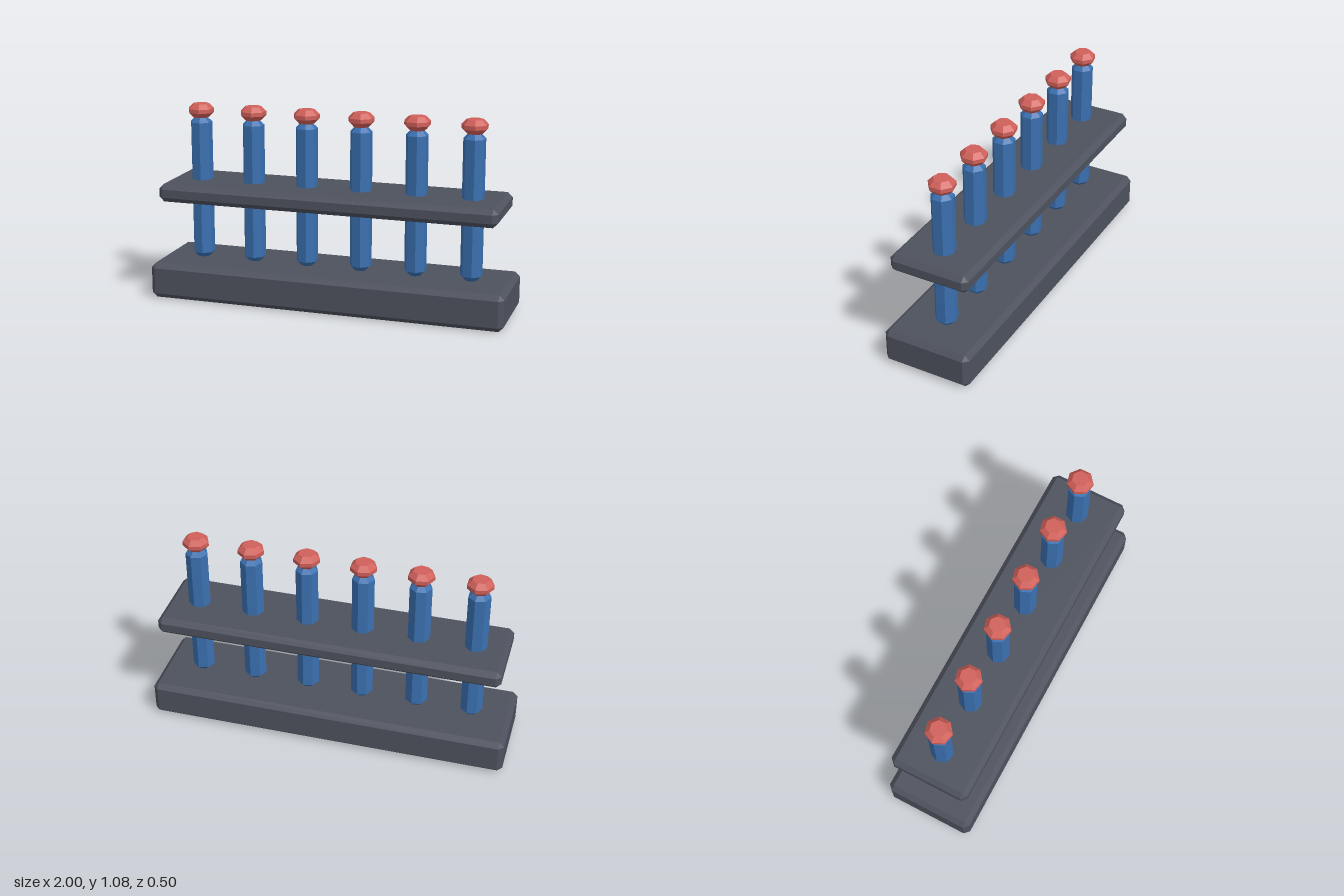
import * as THREE from 'three';
import { ConvexGeometry } from 'three/addons/geometries/ConvexGeometry.js';

const CHAMFER = 0.027;
const SIDES = 7;

// Box with every edge and corner cut flat
function chamferBox(w, h, d) {
  const half = [w / 2, h / 2, d / 2];
  const points = [];
  for (const sx of [-1, 1]) for (const sy of [-1, 1]) for (const sz of [-1, 1]) {
    for (let axis = 0; axis < 3; axis++) {
      const p = half.map((v, i) => (i === axis ? v : v - CHAMFER));
      points.push(new THREE.Vector3(sx * p[0], sy * p[1], sz * p[2]));
    }
  }
  return new ConvexGeometry(points);
}

// Seven-sided rod with bevelled ends, standing on y = 0, one corner towards -x
function bevelledRod(radius, height) {
  const inner = radius - CHAMFER;
  const profile = [
    [0, 0], [inner, 0], [radius, CHAMFER],
    [radius, height - CHAMFER], [inner, height], [0, height],
  ].map(([r, y]) => new THREE.Vector2(r, y));
  const geometry = new THREE.LatheGeometry(profile, SIDES).toNonIndexed();
  geometry.rotateY(-Math.PI / 2);
  geometry.computeVertexNormals();
  return geometry;
}

function material(name, color) {
  const m = new THREE.MeshStandardMaterial({ color });
  m.name = name;
  return m;
}

export function createModel() {
  const group = new THREE.Group();
  group.name = 'tubeRack';
  const darkGrey = material('dark grey', 0x4e525e);
  const blue = material('blue', 0x3a70b0);
  const red = material('red', 0xd0605a);

  const add = (name, geometry, mat, x, y) => {
    const mesh = new THREE.Mesh(geometry, mat);
    mesh.name = name;
    mesh.position.set(x, y, 0);
    group.add(mesh);
  };

  // Base block and the holding shelf
  add('base', chamferBox(2, 0.2, 0.5), darkGrey, 0, 0.1);
  add('shelf', chamferBox(1.9, 0.1, 0.45), darkGrey, 0, 0.6);

  // Row of stoppered tubes
  const tube = bevelledRod(0.0615, 0.8);
  const stopper = bevelledRod(0.0725, 0.076);
  for (let i = 0; i < 6; i++) {
    const x = (i - 2.5) * 0.31;
    add('tube' + (i + 1), tube, blue, x, 0.2);
    add('stopper' + (i + 1), stopper, red, x, 1.0);
  }
  return group;
}
